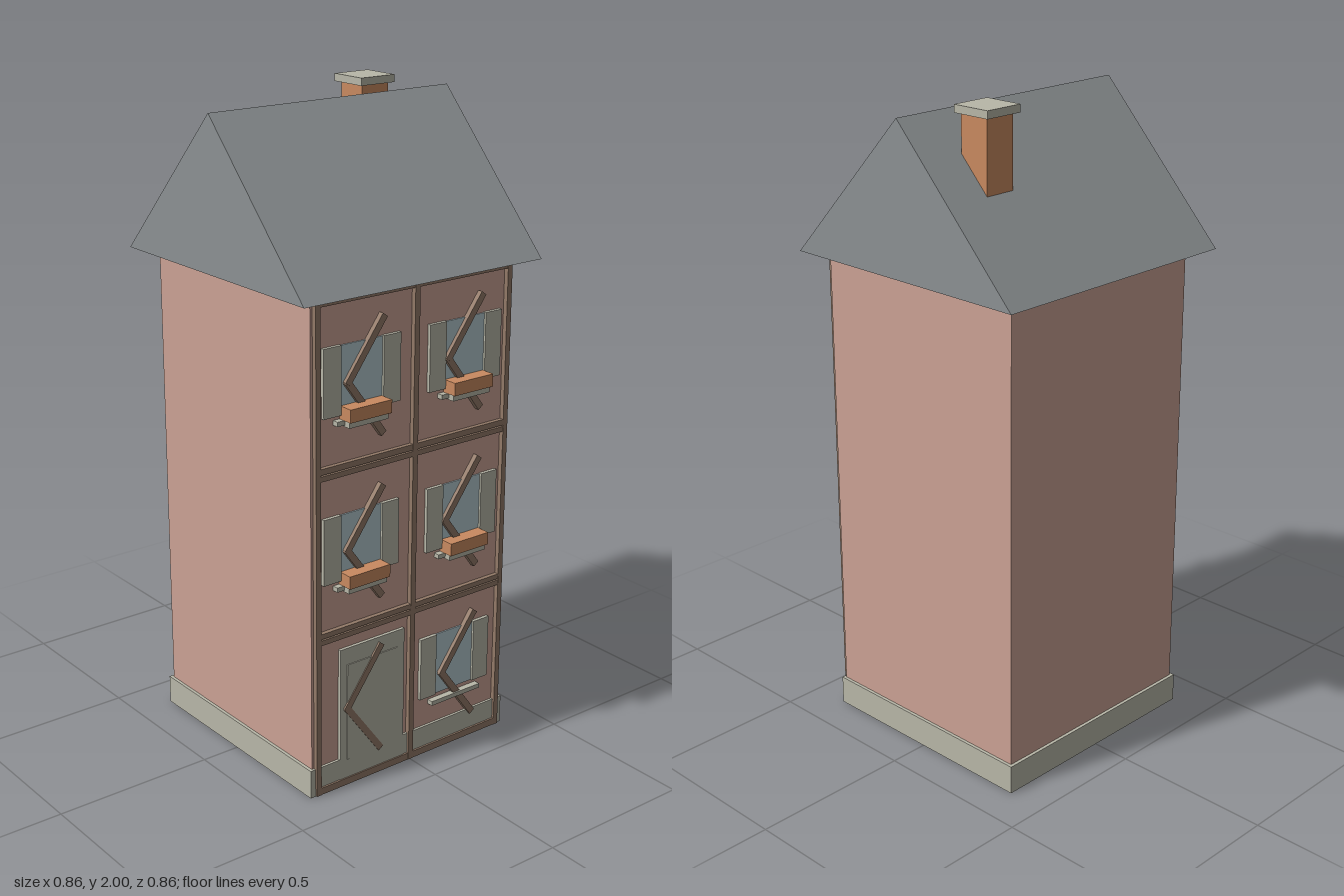
import * as THREE from 'three';

const mat = (name, color) => new THREE.MeshStandardMaterial({ name, color });

export function createModel() {
  const house = new THREE.Group();
  house.name = 'townhouse';
  const plaster = mat('pink plaster', 0xcba294);
  const stone = mat('pale stone', 0xb8b7a8);
  const slate = mat('grey slate', 0x8c9193);
  const timber = mat('brown timber', 0x937a68);
  const glass = mat('window glass', 0xb4c9cf);
  const brick = mat('orange brick', 0xc98a60);

  // Box given by its limits on each axis
  function block(name, material, x0, x1, y0, y1, z0, z1, parent = house) {
    const mesh = new THREE.Mesh(new THREE.BoxGeometry(x1 - x0, y1 - y0, z1 - z0), material);
    mesh.position.set((x0 + x1) / 2, (y0 + y1) / 2, (z0 + z1) / 2);
    mesh.name = name;
    parent.add(mesh);
    return mesh;
  }

  // Body and plinth
  block('walls', plaster, -0.368, 0.368, 0.05, 1.52, -0.368, 0.37);
  block('plinth', stone, -0.378, 0.378, 0, 0.09, -0.378, 0.378);

  // Gabled roof, a closed prism along x
  const gable = new THREE.Shape([
    new THREE.Vector2(-0.43, 1.515),
    new THREE.Vector2(0.43, 1.515),
    new THREE.Vector2(0, 1.97),
  ]);
  const roofShape = new THREE.ExtrudeGeometry(gable, { depth: 0.864, bevelEnabled: false });
  roofShape.translate(0, 0, -0.432).rotateY(Math.PI / 2);
  const roof = new THREE.Mesh(roofShape, slate);
  roof.name = 'roof';
  house.add(roof);

  // Chimney
  block('chimneyStack', brick, 0.185, 0.285, 1.65, 1.98, -0.197, -0.099);
  block('chimneyCap', stone, 0.171, 0.298, 1.977, 2, -0.212, -0.085);

  // Timber grid on the front
  const frame = new THREE.Group();
  frame.name = 'timberFrame';
  house.add(frame);
  for (const [x0, x1] of [[-0.36, -0.343], [-0.009, 0.009], [0.343, 0.36]]) {
    block('post', timber, x0, x1, 0.002, 1.515, 0.36, 0.385, frame);
  }
  for (const [y0, y1] of [[0.002, 0.024], [0.488, 0.504], [0.508, 0.524],
    [0.99, 1.006], [1.01, 1.028], [1.492, 1.515]]) {
    block('beam', timber, -0.36, 0.36, y0, y1, 0.36, 0.384, frame);
  }

  // Slanted braces, a pair in every bay
  function brace(x, y, sign) {
    const dx = 0.125, dy = 0.17 * sign;
    const mesh = new THREE.Mesh(
      new THREE.BoxGeometry(Math.hypot(dx, dy) + 0.01, 0.021, 0.02), timber);
    mesh.position.set(x + dx / 2, y + dy / 2, 0.3755 + 0.0005 * sign);
    mesh.rotation.z = Math.atan2(dy, dx);
    mesh.name = 'brace';
    frame.add(mesh);
  }
  for (const x of [-0.246, 0.122]) {
    for (const y of [0.255, 0.758, 1.26]) {
      brace(x, y, 1);
      brace(x, y, -1);
    }
  }

  // Window with shutters, sill and optional flower box
  function makeWindow(cx, y, planted) {
    const win = new THREE.Group();
    win.name = 'window';
    house.add(win);
    block('pane', glass, cx - 0.075, cx + 0.075, y, y + 0.2, 0.366, 0.374, win);
    for (const s of [-1, 1]) {
      const x = cx + s * 0.106;
      block('shutter', stone, x - 0.031, x + 0.031, y, y + 0.202, 0.366, 0.381, win);
    }
    if (planted) {
      block('sill', stone, cx - 0.096, cx + 0.096, y - 0.027, y - 0.013, 0.366, 0.39, win);
      block('boxShelf', stone, cx - 0.07, cx + 0.07, y - 0.032, y - 0.013, 0.366, 0.41, win);
      block('flowerBox', brick, cx - 0.074, cx + 0.074, y - 0.013, y + 0.026, 0.366, 0.42, win);
    } else {
      block('sill', stone, cx - 0.097, cx + 0.097, y - 0.028, y - 0.014, 0.366, 0.39, win);
    }
  }
  for (const cx of [-0.193, 0.189]) {
    for (const y of [0.67, 1.17]) makeWindow(cx, y, true);
  }
  makeWindow(0.175, 0.187, false);

  // Door and its surround
  block('doorSurround', stone, -0.27, -0.028, 0.024, 0.45, 0.366, 0.38);
  block('door', stone, -0.245, -0.055, 0.085, 0.397, 0.372, 0.383);

  return house;
}
